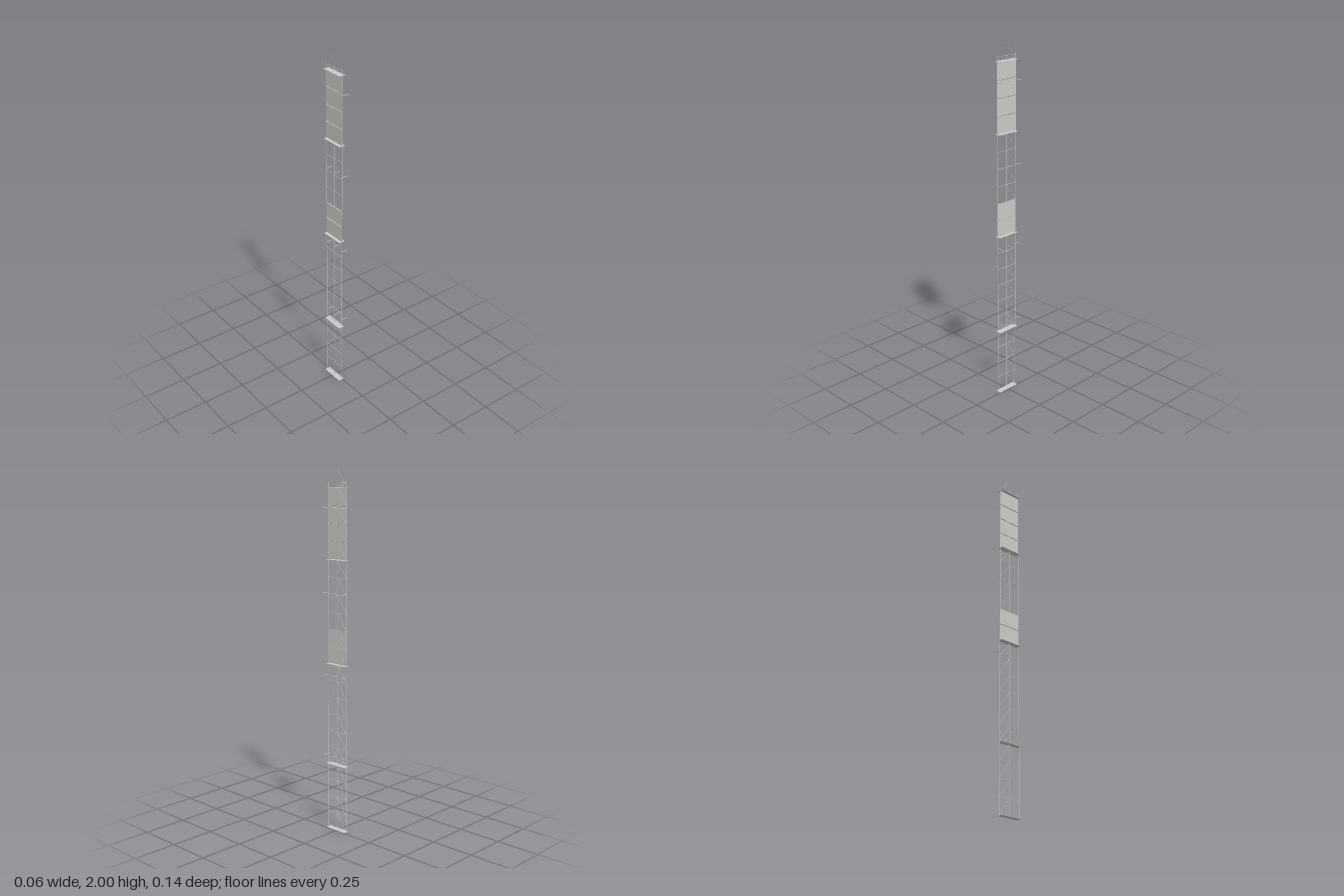
import * as THREE from 'three';

const X = -0.0115;       // plane of the frame
const HALF = 0.0675;     // half width along z
const BASE = 0.005, BAY = 0.095;
const level = (k) => BASE + BAY * k;

const material = new THREE.MeshStandardMaterial({ color: 0xcccccc });

export function createModel() {
  const model = new THREE.Group();

  const add = (name, geometry) => {
    const mesh = new THREE.Mesh(geometry, material);
    mesh.name = name;
    model.add(mesh);
    return mesh;
  };
  const box = (name, w, h, d, x, y, z) =>
    add(name, new THREE.BoxGeometry(w, h, d)).position.set(x, y, z);

  // Round tube between two points
  const tube = (name, a, b, r) => {
    const from = new THREE.Vector3(...a), to = new THREE.Vector3(...b);
    const dir = to.clone().sub(from);
    const mesh = add(name, new THREE.CylinderGeometry(r, r, dir.length(), 8));
    mesh.position.copy(from).add(to).multiplyScalar(0.5);
    mesh.quaternion.setFromUnitVectors(new THREE.Vector3(0, 1, 0), dir.normalize());
  };
  const rail = (name, y, r) => tube(name, [X, y, -HALF], [X, y, HALF], r);

  // Upright posts
  for (const z of [-HALF, 0, HALF]) {
    tube('post', [X, 0, z], [X, 1.937, z], 0.0015);
  }

  // Ledgers and diagonal braces, one per bay
  for (let k = 0; k <= 20; k++) {
    rail('ledger', level(k), 0.001);
    tube('diagonalBrace', [X + 0.001, level(k), -HALF], [X + 0.001, level(k + 1), 0], 0.0009);
  }

  // Decks with low guard rails and short uprights
  for (const k of [0, 4, 10, 16, 20]) {
    const y = level(k);
    const guards = k > 0 ? [0.011, 0.024] : [0.014];
    box('deck', 0.034, 0.0015, HALF * 2, X, y, 0);
    for (const h of guards) rail('guardRail', y + h, 0.0008);
    for (const z of [-0.025, 0.025]) {
      tube('guardUpright', [X, y, z], [X, y + guards.at(-1), z], 0.0008);
    }
  }

  // Cladding panels filling the closed bays
  for (const k of [10, 11, 16, 17, 18, 19]) {
    box('claddingPanel', 0.003, BAY - 0.006, HALF * 2, X, level(k + 0.5), 0);
  }

  // Wall ties reaching out from every post
  for (const y of [0.44, 0.892, 1.346, 1.8]) {
    for (const z of [-HALF, 0, HALF]) {
      tube('wallTie', [X, y, z], [0.027, y, z], 0.0016);
    }
  }

  return model;
}
